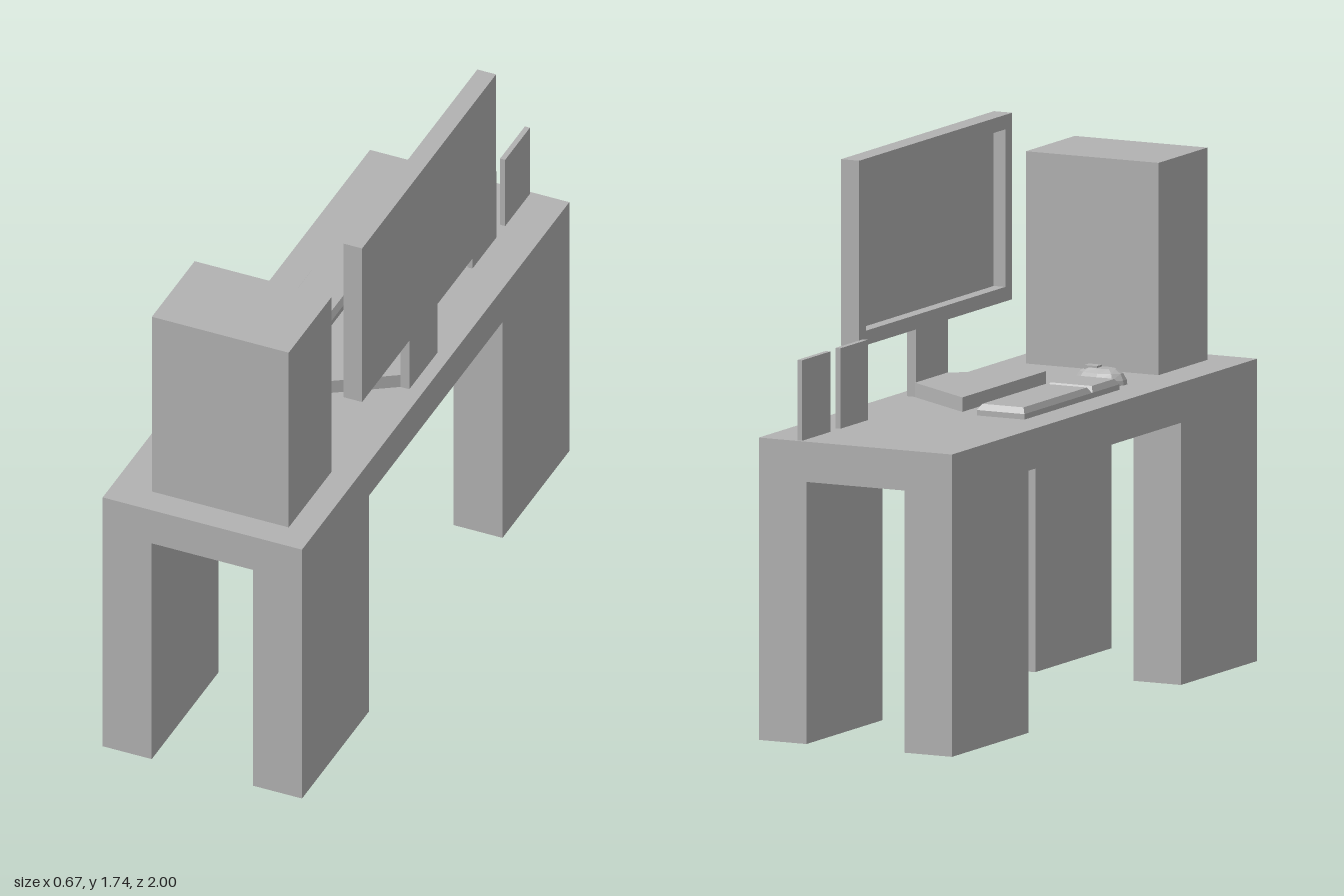
import * as THREE from 'three';

const DESK = 0.94; // desktop height

export function createModel() {
  const group = new THREE.Group();
  const grey = new THREE.MeshStandardMaterial({ color: 0xb2b2b2 });
  grey.name = 'plain grey';

  const add = (name, geometry) => {
    const mesh = new THREE.Mesh(geometry, grey);
    mesh.name = name;
    group.add(mesh);
    return mesh;
  };

  // Box from its minimum and maximum on each axis
  const box = (name, x0, x1, y0, y1, z0, z1) => {
    const g = new THREE.BoxGeometry(x1 - x0, y1 - y0, z1 - z0);
    g.translate((x0 + x1) / 2, (y0 + y1) / 2, (z0 + z1) / 2);
    return add(name, g);
  };

  // Faceted solid through stacked outlines of [x, z], anticlockwise from above
  const loft = (name, rings) => {
    const pos = [];
    const P = (r, i) => {
      const p = r.points[i % r.points.length];
      return [p[0], r.y, p[1]];
    };
    const n = rings[0].points.length;
    for (let k = 0; k + 1 < rings.length; k++) {
      const lo = rings[k], up = rings[k + 1];
      for (let i = 0; i < n; i++) {
        pos.push(...P(lo, i), ...P(lo, i + 1), ...P(up, i + 1));
        pos.push(...P(lo, i), ...P(up, i + 1), ...P(up, i));
      }
    }
    const bottom = rings[0], top = rings[rings.length - 1];
    for (let i = 1; i < n - 1; i++) {
      pos.push(...P(top, 0), ...P(top, i), ...P(top, i + 1));
      pos.push(...P(bottom, 0), ...P(bottom, i + 1), ...P(bottom, i));
    }
    const g = new THREE.BufferGeometry();
    g.setAttribute('position', new THREE.Float32BufferAttribute(pos, 3));
    g.computeVertexNormals();
    return add(name, g);
  };

  const rect = (y, x0, x1, z0, z1) => ({
    y, points: [[x1, z1], [x1, z0], [x0, z0], [x0, z1]],
  });

  // Desk: slab on four wide legs
  box('desktop', -0.335, 0.335, 0.815, DESK, -1, 1);
  for (const sx of [-1, 1]) {
    for (const sz of [-1, 1]) {
      const xs = [0.17 * sx, 0.335 * sx].sort((a, b) => a - b);
      const zs = [0.5 * sz, 1 * sz].sort((a, b) => a - b);
      box('deskLeg', ...xs, 0, 0.815, ...zs);
    }
  }

  // Computer tower and pair of thin speakers
  box('computerTower', -0.21, 0.25, DESK, 1.6, 0.59, 0.91);
  box('speaker', 0.19, 0.207, DESK, 1.19, -0.99, -0.805);
  box('speaker', 0.19, 0.207, DESK, 1.19, -0.74, -0.56);

  // Monitor: panel behind a raised bezel that faces -x
  const [z0, z1, y0, y1, rim] = [-0.512, 0.49, 1.155, 1.735, 0.045];
  const outline = (i) => [
    [z0 + i, y0 + i], [z1 - i, y0 + i], [z1 - i, y1 - i], [z0 + i, y1 - i],
  ].map(([a, b]) => new THREE.Vector2(a, b));
  const bezel = new THREE.Shape(outline(0));
  bezel.holes.push(new THREE.Path(outline(rim)));
  const bezelGeo = new THREE.ExtrudeGeometry(bezel, { depth: 0.04, bevelEnabled: false });
  bezelGeo.rotateY(-Math.PI / 2).translate(0.285, 0, 0);
  add('monitorBezel', bezelGeo);
  box('monitorPanel', 0.285, 0.308, y0, y1, z0, z1);

  // Monitor stand: neck on a tapered foot
  box('monitorNeck', 0.26, 0.29, DESK, y0, -0.113, 0.097);
  const foot = [[0.26, 0.097], [0.26, -0.118], [0.005, -0.29], [0.005, 0.26]];
  loft('monitorFoot', [{ y: DESK, points: foot }, { y: 0.985, points: foot }]);

  // Keyboard: tray with two bevelled key blocks
  box('keyboardTray', -0.23, -0.065, DESK, 0.957, -0.327, 0.295);
  for (const [name, a, b] of [['mainKeys', -0.327, 0.115], ['numberKeys', 0.12, 0.295]]) {
    loft(name, [
      rect(0.957, -0.23, -0.065, a, b),
      rect(0.975, -0.219, -0.076, a + 0.015, b - 0.012),
    ]);
  }

  // Mouse: faceted dome with a small wheel
  const body = [
    [-0.04, 0.4], [-0.04, 0.365], [-0.065, 0.34], [-0.13, 0.325],
    [-0.18, 0.34], [-0.205, 0.37], [-0.205, 0.395], [-0.18, 0.425],
    [-0.13, 0.44], [-0.065, 0.425],
  ];
  const ring = (y, sx, sz) => ({
    y, points: body.map(([x, z]) => [-0.122 + (x + 0.122) * sx, 0.382 + (z - 0.382) * sz]),
  });
  loft('mouseBody', [
    ring(DESK, 1, 1), ring(0.955, 0.98, 0.95), ring(0.975, 0.85, 0.7), ring(0.988, 0.6, 0.4),
  ]);
  box('mouseWheel', -0.115, -0.07, 0.97, 0.994, 0.366, 0.398);

  return group;
}
